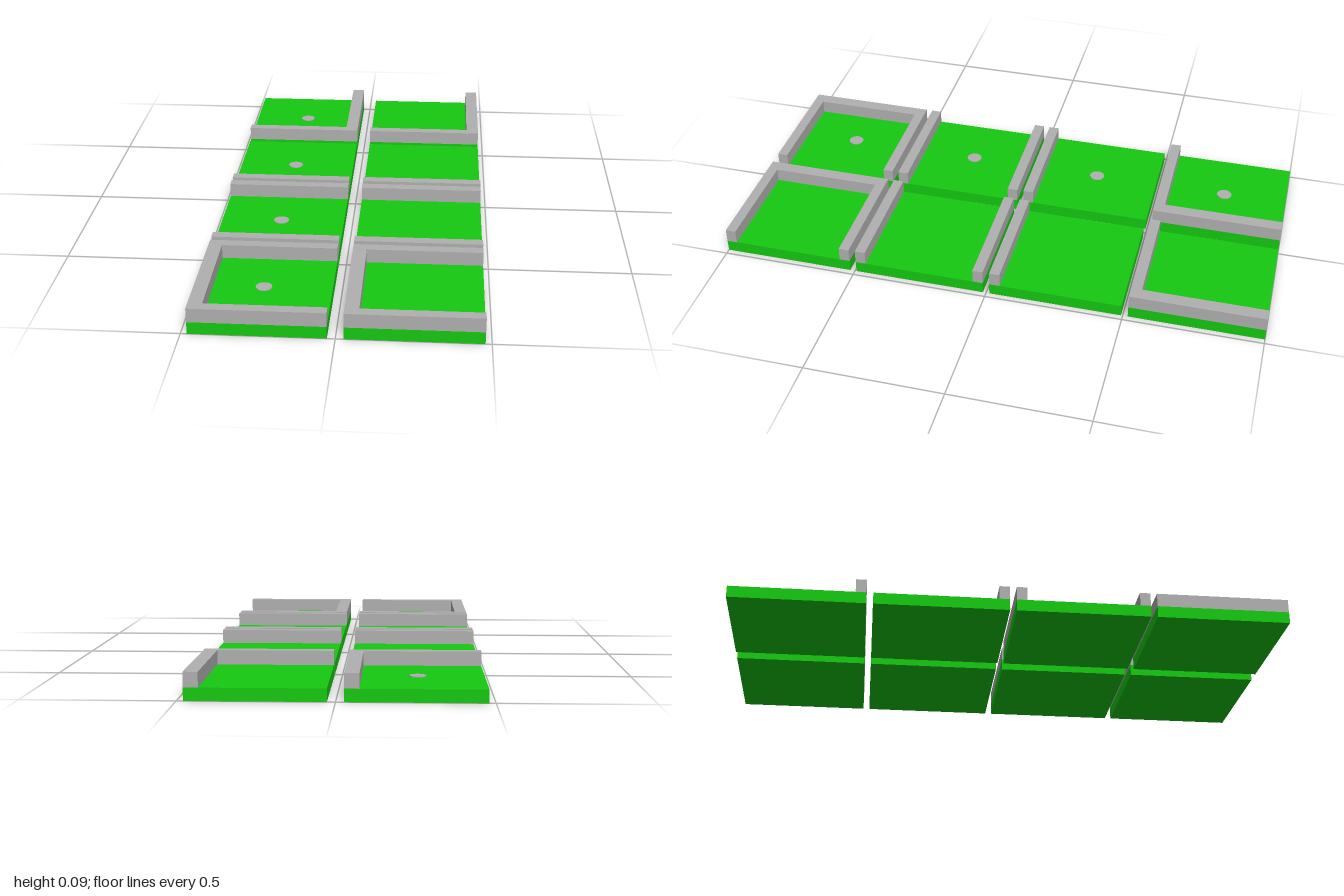
import * as THREE from 'three';

const TILE_W = 0.452, TILE_D = 0.482, BASE_H = 0.043, TOP = 0.093;
const END_T = 0.038, SIDE_T = 0.048;

const green = new THREE.MeshStandardMaterial({ color: 0x16c911, flatShading: true });
const grey = new THREE.MeshStandardMaterial({ color: 0xb0b0b0, flatShading: true });
const greySmooth = new THREE.MeshStandardMaterial({ color: 0xb0b0b0 });

// Box given by its lower and upper limits on each axis
function block(name, material, x0, x1, y0, y1, z0, z1) {
  const mesh = new THREE.Mesh(new THREE.BoxGeometry(x1 - x0, y1 - y0, z1 - z0), material);
  mesh.position.set((x0 + x1) / 2, (y0 + y1) / 2, (z0 + z1) / 2);
  mesh.name = name;
  return mesh;
}

// One room: floor slab plus the chosen walls (side: -1 right, 1 left, 0 none)
function createRoom({ back, front, side }, withMarker) {
  const room = new THREE.Group();
  const w = TILE_W / 2, d = TILE_D / 2;
  room.add(block('floorSlab', green, -w, w, 0, BASE_H, -d, d));
  if (back) room.add(block('backWall', grey, -w, w, BASE_H, TOP, -d, -d + END_T));
  if (front) room.add(block('frontWall', grey, -w, w, BASE_H, TOP, d - END_T, d));
  if (side) {
    const inner = side * (w - SIDE_T), outer = side * w;
    room.add(block('sideWall', grey, Math.min(inner, outer), Math.max(inner, outer), BASE_H, TOP,
      back ? -d + END_T : -d, front ? d - END_T : d));
  }
  // Low round floor marker
  if (withMarker) {
    const marker = new THREE.Mesh(new THREE.CylinderGeometry(0.028, 0.028, 0.006, 32), greySmooth);
    marker.position.set(-0.006, BASE_H, -0.012 + 0.008);
    marker.name = 'floorMarker';
    room.add(marker);
  }
  return room;
}

export function createModel() {
  const model = new THREE.Group();
  model.name = 'roomTiles';
  // Rows from back to front
  const rows = [
    { back: false, front: true, side: 1 },
    { back: false, front: true, side: 0 },
    { back: true, front: true, side: 0 },
    { back: true, front: true, side: -1 },
  ];
  const pitch = (2 - TILE_D) / 3;
  rows.forEach((row, i) => {
    [-0.253, 0.253].forEach((x, column) => {
      const room = createRoom(row, column === 0);
      room.position.set(x, 0, -1 + TILE_D / 2 + i * pitch);
      room.name = `room${column === 0 ? 'Right' : 'Left'}${i + 1}`;
      model.add(room);
    });
  });
  return model;
}
